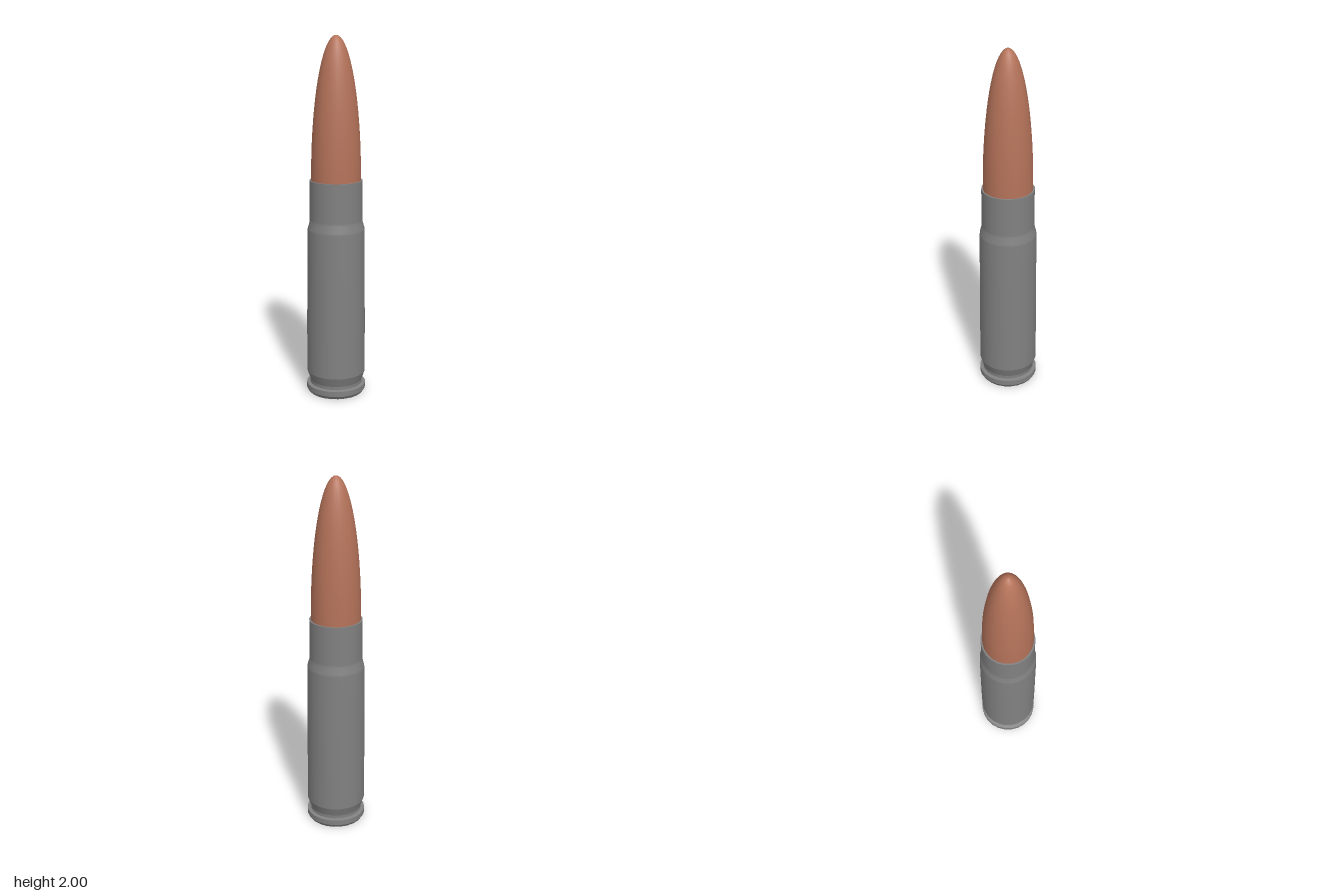
import * as THREE from 'three';

const SIDES = 24;

export function createModel() {
  const steel = new THREE.MeshStandardMaterial({ color: 0x818181 });
  steel.name = 'grey steel';
  const copper = new THREE.MeshStandardMaterial({ color: 0xb5735a });
  copper.name = 'copper';

  const model = new THREE.Group();
  model.name = 'cartridge';

  // Each turned part is its own lathe, so edges between parts stay sharp
  const turn = (name, material, profile) => {
    const points = profile.map(([r, y]) => new THREE.Vector2(r, y));
    const mesh = new THREE.Mesh(new THREE.LatheGeometry(points, SIDES), material);
    mesh.name = name;
    model.add(mesh);
  };

  // Base and rim
  turn('baseDisc', steel, [[0, 0], [0.155, 0]]);
  turn('rimChamfer', steel, [[0.155, 0], [0.167, 0.018]]);
  turn('rimEdge', steel, [[0.167, 0.018], [0.167, 0.048]]);
  turn('rimTop', steel, [[0.167, 0.048], [0.147, 0.052]]);

  // Extractor groove
  turn('groove', steel, [[0.147, 0.052], [0.147, 0.07]]);
  turn('grooveSlope', steel, [[0.147, 0.07], [0.165, 0.122]]);

  // Tapered body, shoulder and neck
  turn('caseBody', steel, [
    [0.165, 0.122], [0.164, 0.4], [0.161, 0.7], [0.159, 0.94],
    [0.157, 0.955], [0.147, 0.99], [0.146, 1.005], [0.146, 1.222],
  ]);
  turn('caseMouth', steel, [[0.146, 1.222], [0.134, 1.222]]);

  // Bullet with an elliptical nose
  const nose = [[0.137, 1.2]];
  const steps = 18;
  for (let i = 0; i <= steps; i++) {
    const a = (i / steps) * Math.PI / 2;
    nose.push([i === steps ? 0 : 0.137 * Math.cos(a), 1.222 + 0.778 * Math.sin(a)]);
  }
  turn('bullet', copper, nose);

  return model;
}
